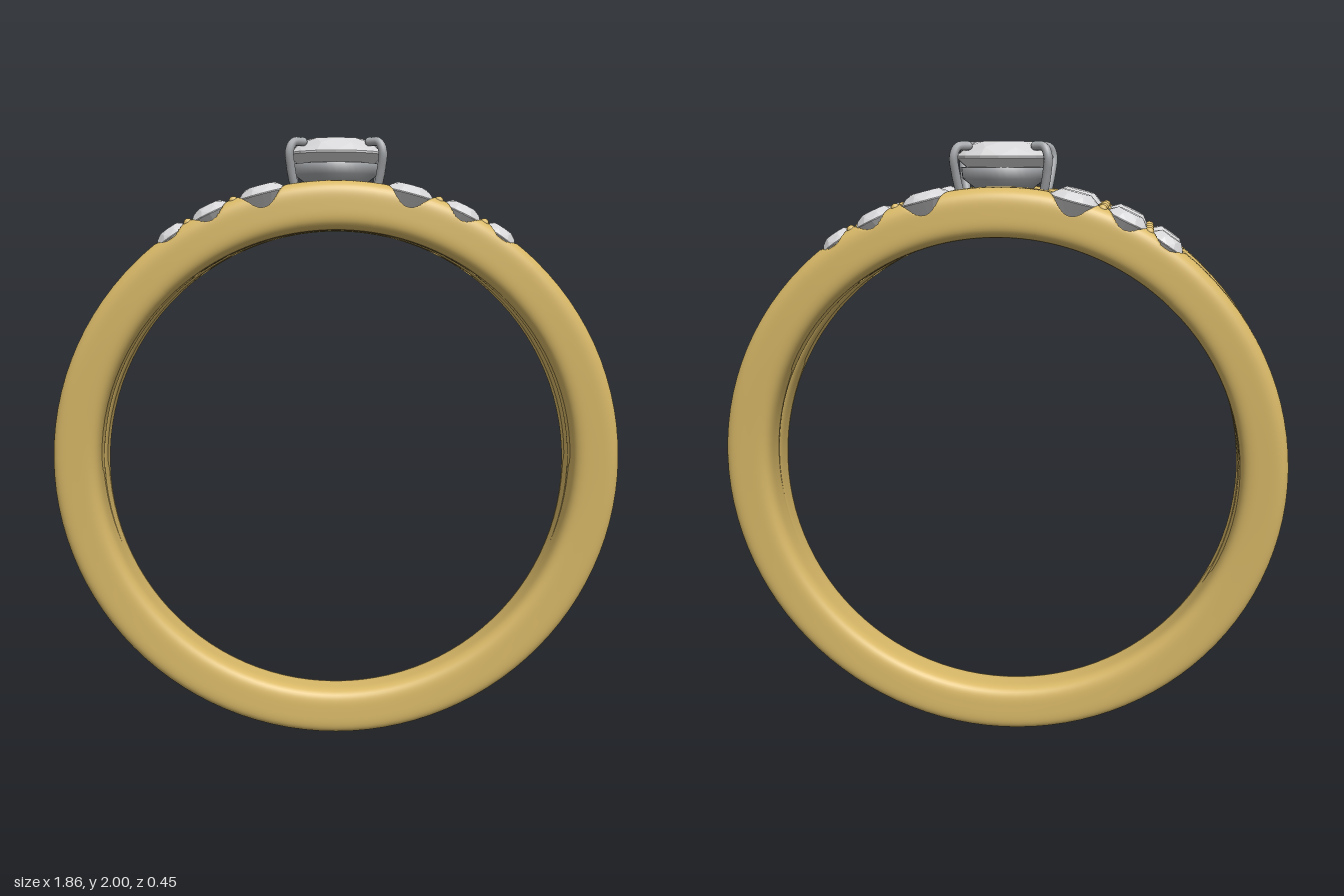
import * as THREE from 'three';
import { ConvexGeometry } from 'three/addons/geometries/ConvexGeometry.js';

const gold = new THREE.MeshStandardMaterial({ color: 0xd9b968 });
gold.name = 'gold';
const silver = new THREE.MeshStandardMaterial({ color: 0xa4a7aa, side: THREE.DoubleSide });
silver.name = 'silver';
const crystal = new THREE.MeshStandardMaterial({ color: 0xd6d6d8 });
crystal.name = 'crystal';

const CY = 0.933, OUTER = 0.93, INNER = 0.775;
const MID = (OUTER + INNER) / 2, HALF = (OUTER - INNER) / 2;

// Strand centre and half width, both growing from the bottom to the top
const lift = (a) => (1 + Math.cos(a)) / 2;
const strandZ = (a) => 0.125 * Math.pow(lift(a), 1.3);
const strandHalfWidth = (a) => 0.075 + 0.023 * lift(a) ** 2;

// Shoulder stones: angle from the top and radius
const stones = [];
for (const [angle, r] of [[0.255, 0.083], [0.445, 0.073], [0.6, 0.064]]) {
  for (const s of [-1, 1]) stones.push({ angle: s * angle, r, z: strandZ(angle) - 0.006 });
}

function mesh(parent, name, geometry, material) {
  const m = new THREE.Mesh(geometry, material);
  m.name = name;
  parent.add(m);
  return m;
}

// Angles round the ring, closely spaced where the stones are set
function ringAngles() {
  const list = [];
  const span = (a, b, n) => { for (let i = 0; i < n; i++) list.push(a + (b - a) * i / n); };
  span(-0.75, -0.15, 120);
  span(-0.15, 0.15, 16);
  span(0.15, 0.75, 120);
  span(0.75, Math.PI * 2 - 0.75, 80);
  return list;
}

// One strand: a rounded section swept round, with scooped seats and drilled holes
function strandGeometry(side) {
  const angles = ringAngles(), n = 84, positions = [], index = [];
  angles.forEach((a, i) => {
    const near = stones.filter((s) => Math.abs(s.angle - a) < 0.12);
    for (let j = 0; j < n; j++) {
      const phi = j / n * Math.PI * 2, c = Math.cos(phi), s = Math.sin(phi);
      const k = 1 / Math.pow(c ** 4 + s ** 4, 0.25);
      const z = strandZ(a) + strandHalfWidth(a) * c * k;
      let rad = MID + HALF * s * k;
      for (const st of near) {
        const along = (a - st.angle) * OUTER, across = z - st.z;
        const d = Math.hypot(along / st.r, across / (st.r * 1.5));
        if (d < 1) rad = Math.min(rad, OUTER - 0.1 * (st.r / 0.083) * Math.sqrt(1 - d * d));
        if (s < -0.5 && Math.hypot(along, across) < st.r * 0.45) rad = 0.82;
      }
      positions.push(Math.sin(a) * rad, CY + Math.cos(a) * rad, side * z);
      const i2 = (i + 1) % angles.length, j2 = (j + 1) % n;
      const p = i * n + j, q = i2 * n + j, r = i2 * n + j2, t = i * n + j2;
      if (side > 0) index.push(p, q, t, q, r, t);
      else index.push(p, t, q, q, t, r);
    }
  });
  const g = new THREE.BufferGeometry();
  g.setAttribute('position', new THREE.Float32BufferAttribute(positions, 3));
  g.setIndex(index);
  g.computeVertexNormals();
  return g;
}

// Round faceted stone with its girdle at y = 0
function gemGeometry(r, crown, pavilion) {
  const pts = [new THREE.Vector3(0, -pavilion, 0)];
  const ring = (n, radius, y, turn) => {
    for (let i = 0; i < n; i++) {
      const a = (i + turn) / n * Math.PI * 2;
      pts.push(new THREE.Vector3(Math.cos(a) * radius, y, Math.sin(a) * radius));
    }
  };
  ring(8, r * 0.56, crown, 0);
  ring(8, r * 0.8, crown * 0.6, 0.5);
  ring(16, r, 0, 0);
  ring(16, r, -r * 0.04, 0);
  return new ConvexGeometry(pts);
}

export function createModel() {
  const model = new THREE.Group();
  model.name = 'ring';

  for (const side of [-1, 1]) {
    const label = side > 0 ? 'front' : 'back';
    mesh(model, label + 'Strand', strandGeometry(side), gold);

    // Shoulder stones
    for (const st of stones) {
      const gem = mesh(model, label + 'ShoulderStone', gemGeometry(st.r, 0.027, st.r * 1.05), crystal);
      gem.position.set(Math.sin(st.angle) * 0.918, CY + Math.cos(st.angle) * 0.918, side * st.z);
      gem.rotation.z = -st.angle;
    }

    // Small beads holding neighbouring stones
    for (const s of [-1, 1]) {
      for (const a of [0.355, 0.527]) {
        for (const dz of [-0.055, 0.055]) {
          const bead = mesh(model, label + 'Bead', new THREE.SphereGeometry(0.015, 10, 8), gold);
          bead.position.set(s * Math.sin(a) * 0.922, CY + Math.cos(a) * 0.922, side * (strandZ(a) + dz));
        }
      }
    }

    // Claws of the centre setting
    for (const s of [-1, 1]) {
      const path = [[0.13, 1.83, 0.075], [0.143, 1.9, 0.095], [0.147, 1.955, 0.108],
        [0.135, 1.983, 0.1], [0.105, 1.986, 0.08]].map(([x, y, z]) => new THREE.Vector3(s * x, y, side * z));
      const claw = new THREE.TubeGeometry(new THREE.CatmullRomCurve3(path), 24, 0.014, 10);
      mesh(model, label + 'Claw', claw, silver);
      const tip = mesh(model, label + 'ClawTip', new THREE.SphereGeometry(0.014, 10, 8), silver);
      tip.position.copy(path[4]);
    }
  }

  // Centre stone and the cup beneath it
  const centre = mesh(model, 'centreStone', gemGeometry(0.156, 0.045, 0.14), crystal);
  centre.position.y = 1.955;
  const cup = [[0.04, 1.79], [0.1, 1.86], [0.134, 1.885], [0.138, 1.92], [0.12, 1.922], [0.03, 1.79]];
  const cupGeometry = new THREE.LatheGeometry(cup.map(([x, y]) => new THREE.Vector2(x, y)), 40);
  mesh(model, 'settingCup', cupGeometry, silver);

  return model;
}
